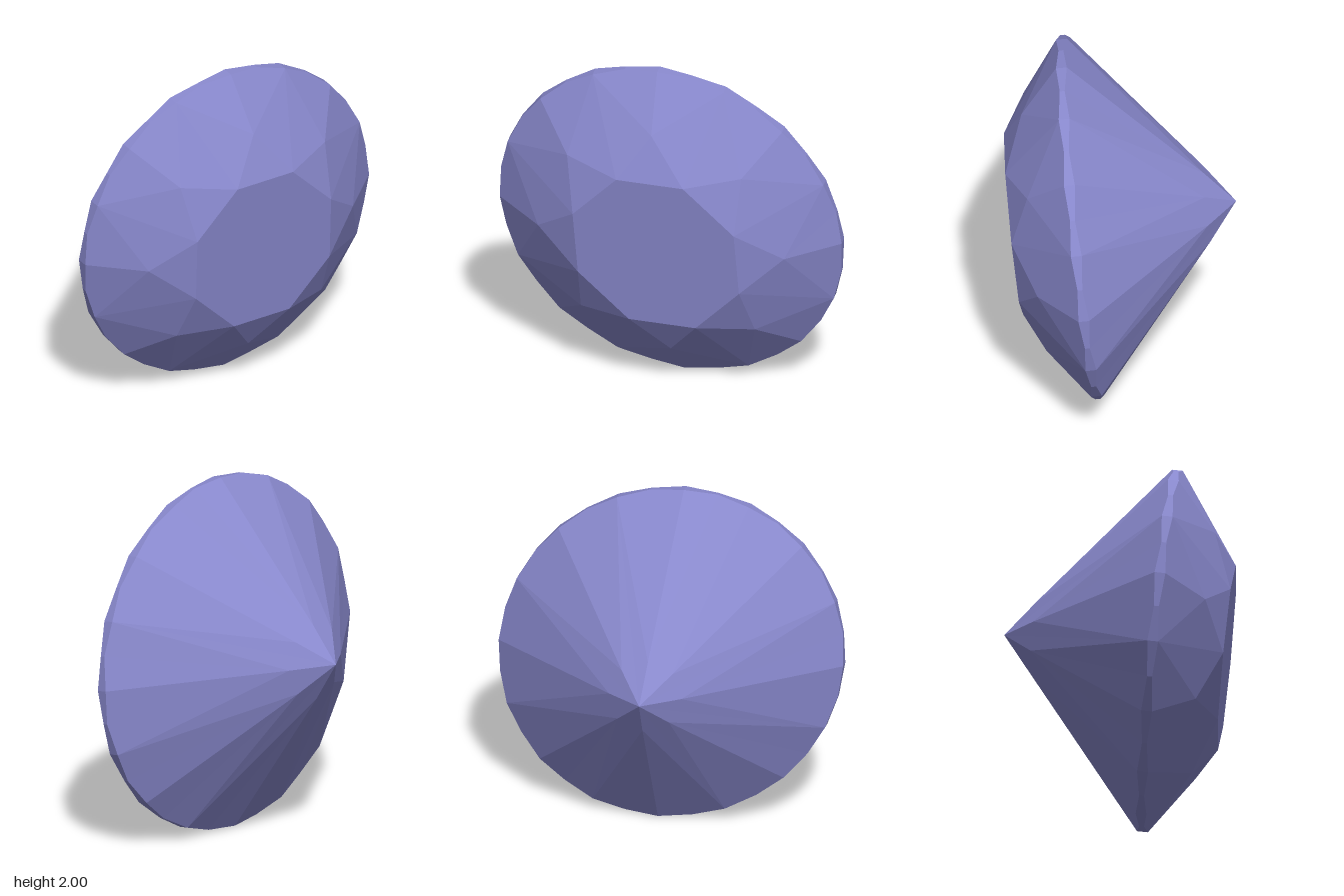
import * as THREE from 'three';

// Tilted gem frame: two axes in the girdle plane and the axis towards the table
const X = new THREE.Vector3(0.985, -0.025, -0.175);
const Y = new THREE.Vector3(-0.033, 0.998, 0.115);
const N = new THREE.Vector3(0.172, -0.113, 0.98);
const CENTRE = new THREE.Vector3(0, 1, 0.2);
const STEP = Math.PI / 16; // 32 girdle points

// Point at girdle step i, radius r and height h along the gem axis
function at(i, r, h) {
  const a = i * STEP;
  return CENTRE.clone()
    .addScaledVector(X, r * Math.cos(a))
    .addScaledVector(Y, r * Math.sin(a))
    .addScaledVector(N, h);
}

// Flat facet from a convex loop of corners, counter-clockwise from outside
function facet(list, ...p) {
  for (let i = 1; i < p.length - 1; i++) {
    for (const v of [p[0], p[i], p[i + 1]]) list.push(v.x, v.y, v.z);
  }
}

export function createModel() {
  const group = new THREE.Group();
  group.name = 'gem';
  const material = new THREE.MeshStandardMaterial({ color: 0x8888cc, flatShading: true });

  // Key points; the girdle rims are scalloped between the main facets
  const tableCorner = (i) => at(i, 0.51, 0.385);
  const starPoint = (i) => at(i, 0.72, 0.262);
  const rimTop = (i) => at(i, 1, i % 2 ? 0.018 : 0.034);
  const rimBottom = (i) => at(i, 1, i % 2 ? -0.01 : -0.028);
  const pavilionPoint = (i) => at(i, 0.21, -0.72);
  const culet = at(0, 0, -0.886);

  const table = [], crown = [], girdle = [], pavilion = [];

  facet(table, ...Array.from({ length: 8 }, (_, k) => tableCorner(4 * k + 2)));

  for (let i = 0; i < 32; i += 4) {
    // Star facet and kite facet
    facet(crown, tableCorner(i - 2), starPoint(i), tableCorner(i + 2));
    facet(crown, tableCorner(i + 2), starPoint(i), rimTop(i + 2), starPoint(i + 4));
    // Long main facet of the pavilion
    facet(pavilion, culet, pavilionPoint(i + 4), rimBottom(i + 2), pavilionPoint(i));
    // Upper and lower halves with the girdle band between them
    for (let j = i - 2; j < i + 2; j++) {
      facet(crown, starPoint(i), rimTop(j), rimTop(j + 1));
      facet(girdle, rimTop(j), rimBottom(j), rimBottom(j + 1), rimTop(j + 1));
      facet(pavilion, pavilionPoint(i), rimBottom(j + 1), rimBottom(j));
    }
  }

  for (const [name, list] of Object.entries({ table, crown, girdle, pavilion })) {
    const geometry = new THREE.BufferGeometry();
    geometry.setAttribute('position', new THREE.Float32BufferAttribute(list, 3));
    geometry.computeVertexNormals();
    const mesh = new THREE.Mesh(geometry, material);
    mesh.name = name;
    group.add(mesh);
  }
  return group;
}
